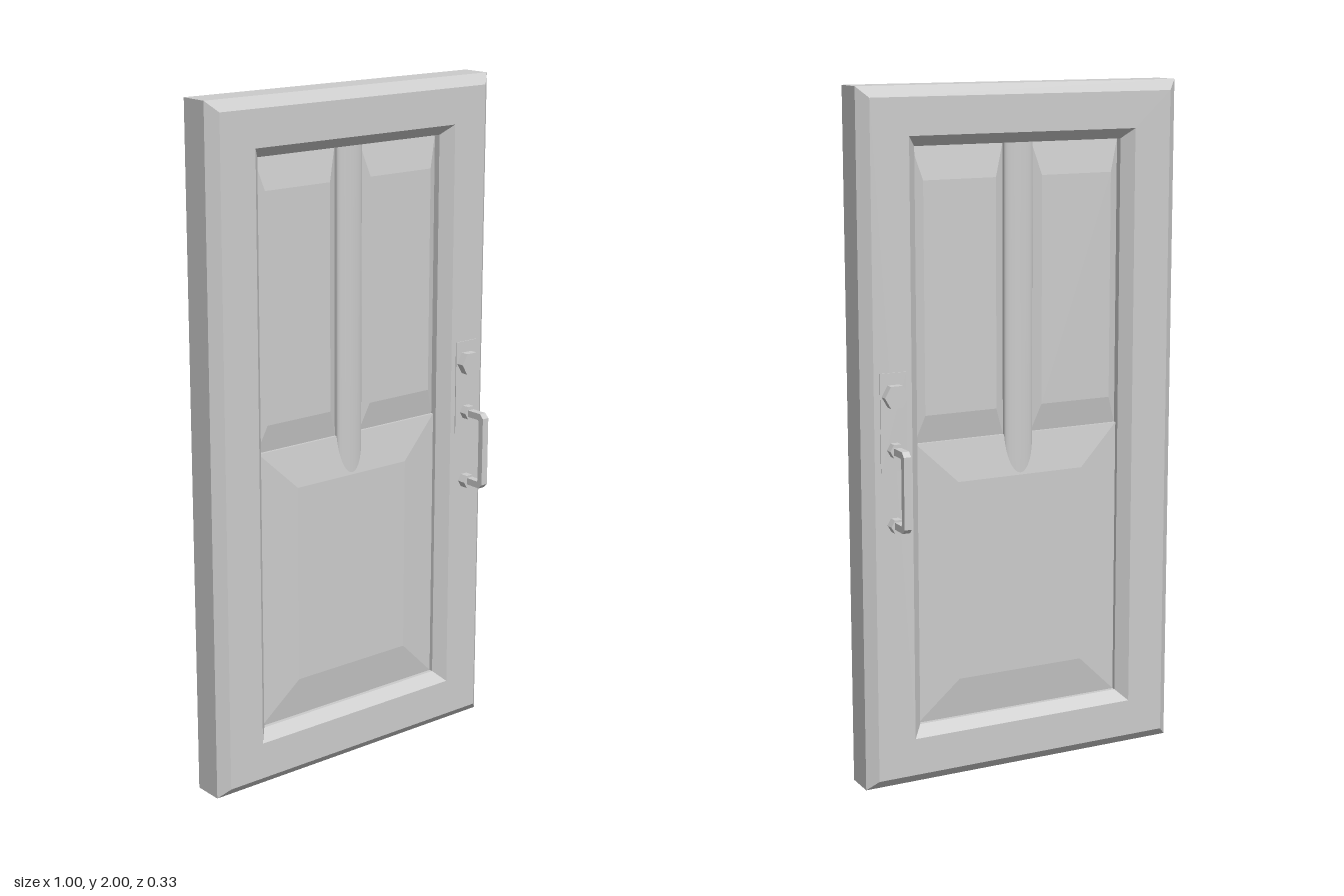
import * as THREE from 'three';

const material = new THREE.MeshStandardMaterial({ color: 0xcccccc });

function part(name, geometry) {
  const mesh = new THREE.Mesh(geometry, material);
  mesh.name = name;
  return mesh;
}

// Nested rectangles [x0, x1, y0, y1, z] joined by flat mitred bands; optionally closed with a face
function steppedRects(rects, capped) {
  const corners = ([x0, x1, y0, y1, z]) => [[x0, y0, z], [x1, y0, z], [x1, y1, z], [x0, y1, z]];
  const out = [];
  const quad = (a, b, c, d) => out.push(...a, ...b, ...c, ...a, ...c, ...d);
  for (let k = 0; k < rects.length - 1; k++) {
    const a = corners(rects[k]), b = corners(rects[k + 1]);
    for (let i = 0; i < 4; i++) {
      const j = (i + 1) % 4;
      quad(a[i], a[j], b[j], b[i]);
    }
  }
  if (capped) quad(...corners(rects[rects.length - 1]));
  const geometry = new THREE.BufferGeometry();
  geometry.setAttribute('position', new THREE.Float32BufferAttribute(out, 3));
  geometry.computeVertexNormals();
  return geometry;
}

// Six-sided knob or bolt pointing along +z
function hexBolt(name, x, y, radius, z0, z1) {
  const geometry = new THREE.CylinderGeometry(radius, radius, z1 - z0, 6).toNonIndexed();
  geometry.rotateY(Math.PI / 2).rotateX(Math.PI / 2);
  geometry.computeVertexNormals();
  const mesh = part(name, geometry);
  mesh.position.set(x, y, (z0 + z1) / 2);
  return mesh;
}

// Squared pull handle with clipped corners
function pullHandle(x) {
  const shape = new THREE.Shape([
    [0.07, 0.78], [0.152, 0.78], [0.165, 0.793], [0.165, 0.999], [0.152, 1.012], [0.07, 1.012],
    [0.07, 0.992], [0.143, 0.992], [0.147, 0.988], [0.147, 0.804], [0.143, 0.8], [0.07, 0.8],
  ].map(([z, y]) => new THREE.Vector2(z, y)));
  const geometry = new THREE.ExtrudeGeometry(shape, { depth: 0.022, bevelEnabled: false });
  geometry.rotateY(-Math.PI / 2).translate(x + 0.011, 0, 0);
  return part('pullHandle', geometry);
}

// Everything on one face of the door
function doorSide(name, handleX) {
  const side = new THREE.Group();
  side.name = name;

  // Bevelled surround
  side.add(part('surround', steppedRects([
    [-0.5, 0.5, 0, 2, 0.045],
    [-0.47, 0.47, 0.03, 1.97, 0.073],
    [-0.355, 0.355, 0.14, 1.865, 0.073],
    [-0.325, 0.325, 0.17, 1.835, 0.04],
    [-0.325, 0.325, 0.17, 1.835, 0],
  ])));

  // Two tall raised panels above
  for (const s of [-1, 1]) {
    const panel = part('upperPanel', steppedRects([
      [-0.14, 0.14, 1, 1.835, 0],
      [-0.14, 0.14, 1, 1.835, 0.02],
      [-0.112, 0.112, 1.08, 1.74, 0.035],
    ], true));
    panel.position.x = s * 0.185;
    side.add(panel);
  }

  // Wide raised panel below
  side.add(part('lowerPanel', steppedRects([
    [-0.325, 0.325, 0.17, 1, 0],
    [-0.325, 0.325, 0.17, 1, 0.028],
    [-0.2, 0.2, 0.29, 0.88, 0.046],
  ], true)));

  // Rounded centre stile that runs out into the lower panel
  const bow = new THREE.CylinderGeometry(0.045, 0.045, 0.955, 16, 1, true, -Math.PI / 2, Math.PI);
  bow.scale(1, 1, 0.38).translate(0, 1.3575, 0.028);
  side.add(part('centreStile', bow));
  const base = new THREE.BoxGeometry(0.09, 0.835, 0.028);
  base.translate(0, 1.4175, 0.014);
  side.add(part('centreStileBase', base));

  // Lock and handle
  const plate = new THREE.BoxGeometry(0.08, 0.28, 0.01);
  plate.translate(handleX, 1.08, 0.071);
  side.add(part('lockPlate', plate));
  side.add(hexBolt('lockKnob', handleX, 1.155, 0.036, 0.07, 0.1));
  for (const y of [0.787, 1.003]) side.add(hexBolt('handleBolt', handleX, y, 0.022, 0.07, 0.1));
  side.add(pullHandle(handleX));
  return side;
}

export function createModel() {
  const model = new THREE.Group();
  model.name = 'door';

  // Outer edge of the slab
  model.add(part('slabEdge', steppedRects([[-0.5, 0.5, 0, 2, -0.045], [-0.5, 0.5, 0, 2, 0.045]])));

  // Matching faces, with the hardware on the same edge
  model.add(doorSide('frontSide', 0.412));
  const back = doorSide('backSide', -0.412);
  back.rotation.y = Math.PI;
  model.add(back);
  return model;
}
